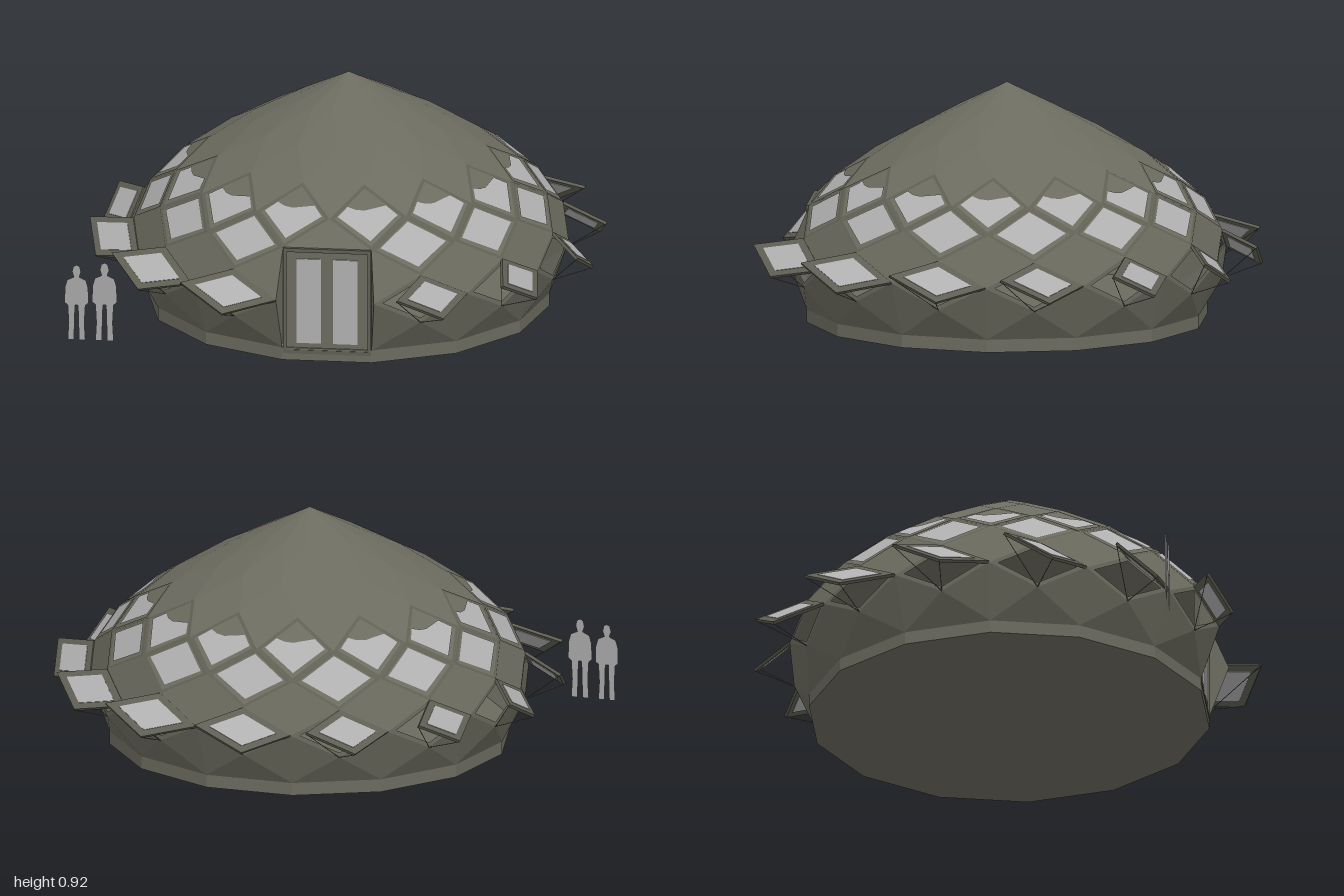
import * as THREE from 'three';

const material = (name, color, side = THREE.FrontSide) => {
  const m = new THREE.MeshStandardMaterial({ color, side });
  m.name = name;
  return m;
};

const N = 14;                                  // sides of the dome
const CENTRE = new THREE.Vector3(0.02, 0, 0.025);
const DOOR = 7;                                // half-step index facing +z

// Dome node on level k (0 = apex, 9 = plinth), at i half steps round
function node(k, i) {
  const r = k === 9 ? 0.775 : 0.85 * Math.sin((k * Math.PI) / N);
  const a = (i * Math.PI) / N;
  return new THREE.Vector3(r * Math.cos(a), k === 9 ? 0.05 : 0.92 - 0.094 * k, r * Math.sin(a)).add(CENTRE);
}

// Fan polygons, given counter-clockwise from outside, into one flat geometry
function facets(polygons) {
  const p = [];
  for (const poly of polygons)
    for (let j = 1; j < poly.length - 1; j++)
      for (const v of [poly[0], poly[j], poly[j + 1]]) p.push(v.x, v.y, v.z);
  const g = new THREE.BufferGeometry();
  g.setAttribute('position', new THREE.Float32BufferAttribute(p, 3));
  g.computeVertexNormals();
  return g;
}

function shrink(corners, s) {
  const c = new THREE.Vector3();
  corners.forEach((v) => c.addScaledVector(v, 1 / corners.length));
  return corners.map((v) => v.clone().lerp(c, 1 - s));
}

function normalOf([a, b, c]) {
  return b.clone().sub(a).cross(c.clone().sub(a)).normalize();
}

// Flat plate with thickness, as a list of polygons
function plate(corners, thickness) {
  const n = normalOf(corners).multiplyScalar(thickness / 2);
  const f = corners.map((v) => v.clone().add(n));
  const b = corners.map((v) => v.clone().sub(n));
  const out = [f, [...b].reverse()];
  corners.forEach((_, j) => {
    const k = (j + 1) % corners.length;
    out.push([f[j], b[j], b[k], f[k]]);
  });
  return out;
}

export function createModel() {
  const model = new THREE.Group();
  model.name = 'faceted dome house';
  const olive = material('olive shell', 0x6c6b5f, THREE.DoubleSide);
  const frame = material('dark olive frame', 0x5f5f54);
  const glass = material('grey glass', 0xb0b0b0, THREE.DoubleSide);
  const figure = material('figure grey', 0xa6a6a6, THREE.DoubleSide);

  const add = (name, geometry, mat, parent = model) => {
    const mesh = new THREE.Mesh(geometry, mat);
    mesh.name = name;
    parent.add(mesh);
    return mesh;
  };

  const shell = [], panes = [], ribs = [], awningFrames = [], awningPanes = [];
  const rods = new THREE.Group();
  rods.name = 'awning rods';
  model.add(rods);

  // Thin rod between two points
  function rod(a, b) {
    const d = b.clone().sub(a);
    const m = add('rod', new THREE.CylinderGeometry(0.0015, 0.0015, d.length(), 5), frame, rods);
    m.position.copy(a).addScaledVector(d, 0.5);
    m.quaternion.setFromUnitVectors(new THREE.Vector3(0, 1, 0), d.normalize());
  }

  // Window pane in a diamond, from points (across, up) in its own axes
  function pane([T, L, B, R], points) {
    const c = shrink([T, L, B, R], 0)[0];
    const u = R.clone().sub(L).multiplyScalar(0.5);
    const v = T.clone().sub(B).multiplyScalar(0.5);
    const n = normalOf([T, L, B]).multiplyScalar(0.004);
    panes.push(points.map(([a, b]) => c.clone().addScaledVector(u, a).addScaledVector(v, b).add(n)));
  }
  const fullPane = [[0, 0.82], [-0.78, 0.04], [0, -0.7], [0.78, 0.04]];
  // Pane whose top is bitten by the scalloped roof edge
  const scallopPane = [[0, -0.72], [0.78, 0.04], [0.5, 0.34], [0.3, 0.24], [0, 0.2],
    [-0.3, 0.24], [-0.5, 0.34], [-0.78, 0.04]].reverse();

  // Open window hinged on its upper edge
  function awning([T, , B, R], i) {
    const a = (i * Math.PI) / N;
    const swing = new THREE.Vector3(
      0.15 * Math.cos(a) - 0.15 * Math.sin(a), -0.04, 0.15 * Math.sin(a) + 0.15 * Math.cos(a));
    const c = [T, T.clone().add(swing), R.clone().add(swing), R];
    awningFrames.push(...plate(c, 0.012));
    awningPanes.push(...plate(shrink(c, 0.7), 0.016));
    rod(c[2], B);
    rod(c[1], B);
  }

  // Diamond facets, row by row
  for (let m = 1; m <= 9; m++) {
    for (let i = m % 2; i < 2 * N; i += 2) {
      const T = node(m - 1, i), R = node(m, i - 1), L = node(m, i + 1);
      const atDoor = i === DOOR;
      if (m === 9) {
        if (!atDoor) shell.push([T, L, R]);
        continue;
      }
      const B = node(m + 1, i);
      const d = [T, L, B, R];
      if (m === 7) {
        if (atDoor) continue;
        const inner = shrink(d, 0.8);
        d.forEach((v, j) => shell.push([v, d[(j + 1) % 4], inner[(j + 1) % 4], inner[j]]));
        awning(d, i);
      } else if (m === 5 && atDoor) shell.push([T, L, R]);
      else if ((m === 6 || m === 8) && i === DOOR - 1) shell.push([T, B, R]);
      else if ((m === 6 || m === 8) && i === DOOR + 1) shell.push([T, L, B]);
      else {
        shell.push(d);
        if (m === 5) pane(d, fullPane);
        if (m === 4) pane(d, scallopPane);
        // Narrow raised ribs between windows
        if (m === 4 || m === 5) {
          const n = normalOf(d).multiplyScalar(0.002);
          const out = d.map((v) => v.clone().add(n));
          const inn = shrink(out, 0.88);
          out.forEach((v, j) => ribs.push([v, out[(j + 1) % 4], inn[(j + 1) % 4], inn[j]]));
        }
      }
    }
  }

  // Door recess cheeks
  for (const i of [DOOR - 1, DOOR + 1]) shell.push([node(5, i), node(7, i), node(9, i)]);

  add('dome shell', facets(shell), olive);
  add('window ribs', facets(ribs), frame);
  add('window panes', facets(panes), glass);
  add('awning frames', facets(awningFrames), frame);
  add('awning panes', facets(awningPanes), glass);

  // Plinth
  const plinth = new THREE.CylinderGeometry(0.775, 0.775, 0.05, N).toNonIndexed();
  plinth.rotateY(Math.PI / 2);
  plinth.computeVertexNormals();
  add('plinth', plinth, olive).position.set(CENTRE.x, 0.025, CENTRE.z);

  // Double door in the recess
  const door = new THREE.Group();
  door.name = 'double door';
  door.position.set(CENTRE.x, 0, 0.768);
  model.add(door);
  const box = (name, w, h, t, x, y, z, mat) =>
    add(name, new THREE.BoxGeometry(w, h, t), mat, door).position.set(x, y, z);
  box('door slab', 0.33, 0.42, 0.014, 0, 0.24, 0, olive);
  box('door lintel', 0.34, 0.015, 0.03, 0, 0.445, 0, frame);
  box('door sill', 0.34, 0.015, 0.03, 0, 0.035, 0, frame);
  for (const s of [-1, 1]) {
    box('door jamb', 0.014, 0.42, 0.03, s * 0.163, 0.24, 0, frame);
    box('door glass', 0.095, 0.34, 0.006, s * 0.07, 0.24, 0.009, glass);
  }

  // Flat standing figures for scale
  const half = [[0.006, 0.14], [0.01, 0], [0.034, 0], [0.03, 0.07], [0.034, 0.14], [0.046, 0.15],
    [0.045, 0.21], [0.036, 0.242], [0.01, 0.254], [0.017, 0.275], [0.012, 0.297], [0, 0.303]];
  const outline = [...half, ...half.slice(0, -1).reverse().map(([x, y]) => [-x, y])];
  const body = new THREE.ShapeGeometry(new THREE.Shape(outline.map(([x, y]) => new THREE.Vector2(x, y))));
  for (const [x, s] of [[-0.953, 1], [-0.845, 1.04]]) {
    const person = add('standing figure', body, figure);
    person.position.set(x, 0.03, 0.72);
    person.scale.set(s, s, 1);
  }
  return model;
}
